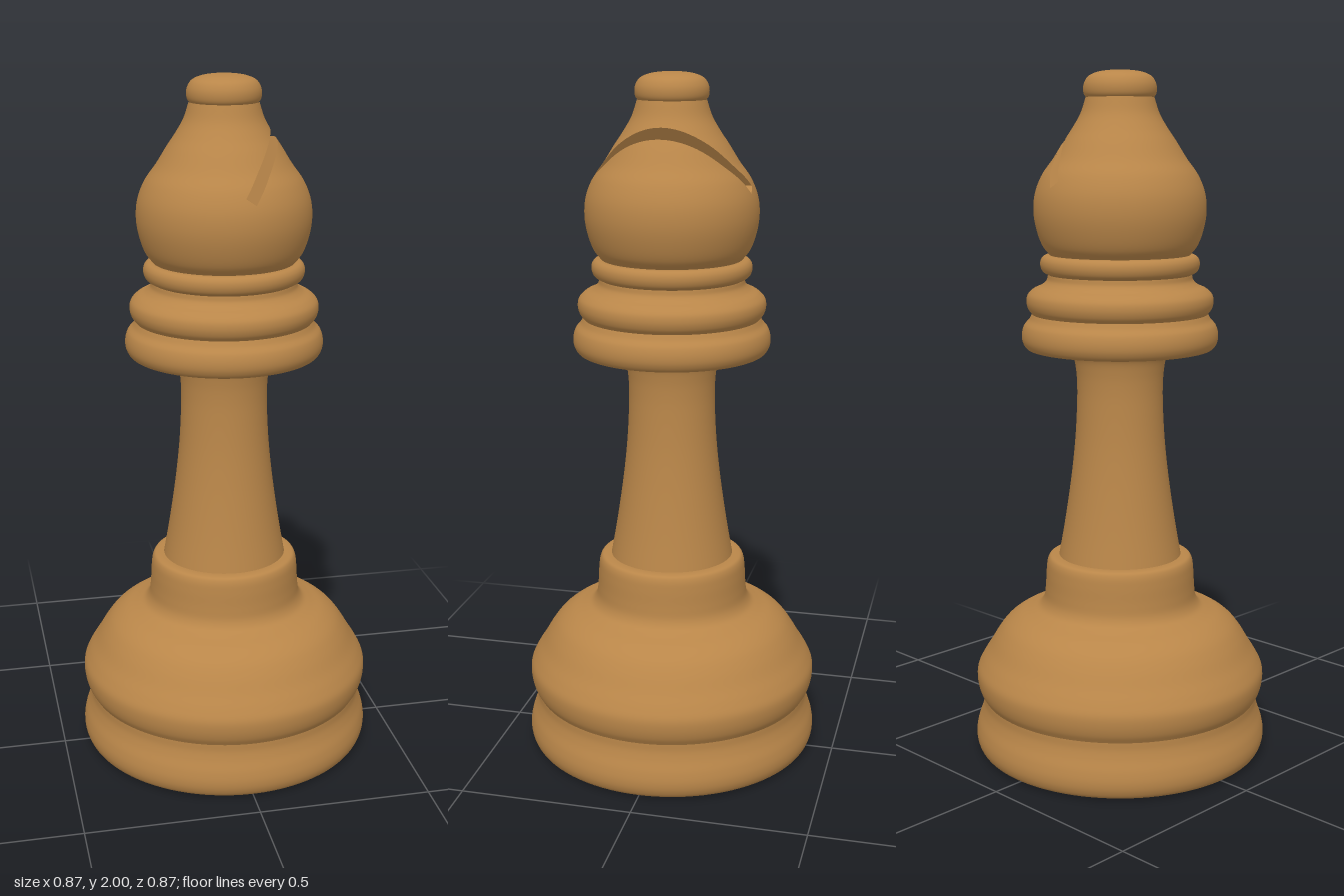
import * as THREE from 'three';

const SEGMENTS = 96;

// Smooth curve through profile points [radius, height]
function smooth(points, n = 48) {
  const curve = new THREE.CatmullRomCurve3(points.map(([r, y]) => new THREE.Vector3(r, y, 0)), false, 'centripetal');
  return curve.getPoints(n).map((p) => new THREE.Vector2(Math.max(0, p.x), p.y));
}

const headProfile = smooth([
  [0.2, 1.482], [0.222, 1.51], [0.24, 1.56], [0.247, 1.61], [0.242, 1.66], [0.222, 1.71],
  [0.19, 1.755], [0.16, 1.803], [0.135, 1.84], [0.112, 1.88], [0.097, 1.925],
], 60);

// Head radius at height y
function headRadius(y) {
  for (let i = 1; i < headProfile.length; i++) {
    const a = headProfile[i - 1], b = headProfile[i];
    if (y <= b.y) return a.x + (b.x - a.x) * (y - a.y) / (b.y - a.y);
  }
  return 0;
}

// Slanted slot: corner, direction, width direction and width in the xy plane
const corner = new THREE.Vector2(0.012, 1.695);
const along = new THREE.Vector2(0.57, 0.82).normalize();
const across = new THREE.Vector2(along.y, -along.x);
const WIDTH = 0.033;
const distance = (v, axis) => (v[0] - corner.x) * axis.x + (v[1] - corner.y) * axis.y;

// Keep the part of a polygon where f <= 0 (vertices hold position and normal)
function clip(polygon, f) {
  const out = [];
  polygon.forEach((a, i) => {
    const b = polygon[(i + 1) % polygon.length];
    const fa = f(a), fb = f(b);
    if (fa <= 0) out.push(a);
    if ((fa < 0 && fb > 0) || (fa > 0 && fb < 0)) {
      const t = fa / (fa - fb);
      out.push(a.map((v, k) => v + (b[k] - v) * t));
    }
  });
  return out;
}

// Head shell with the slot cut out
function headShell() {
  const lathe = new THREE.LatheGeometry(headProfile, SEGMENTS).toNonIndexed();
  const P = lathe.attributes.position, N = lathe.attributes.normal;
  const pos = [], nor = [];
  const emit = (poly) => {
    for (let i = 2; i < poly.length; i++) {
      for (const v of [poly[0], poly[i - 1], poly[i]]) {
        pos.push(v[0], v[1], v[2]);
        nor.push(v[3], v[4], v[5]);
      }
    }
  };
  for (let i = 0; i < P.count; i += 3) {
    const tri = [0, 1, 2].map((k) => [
      P.getX(i + k), P.getY(i + k), P.getZ(i + k), N.getX(i + k), N.getY(i + k), N.getZ(i + k)]);
    emit(clip(tri, (v) => distance(v, across)));
    emit(clip(tri, (v) => WIDTH - distance(v, across)));
    const middle = clip(clip(tri, (v) => -distance(v, across)), (v) => distance(v, across) - WIDTH);
    emit(clip(middle, (v) => distance(v, along)));
  }
  const g = new THREE.BufferGeometry();
  g.setAttribute('position', new THREE.Float32BufferAttribute(pos, 3));
  g.setAttribute('normal', new THREE.Float32BufferAttribute(nor, 3));
  return g;
}

// Flat slot face, swept from one xy point to another and trimmed to the head
function slotFace(from, to, flip) {
  const pos = [], steps = 48;
  const rim = (t) => {
    const p = from.clone().lerp(to, t);
    const z = Math.sqrt(Math.max(0, headRadius(p.y) ** 2 - p.x ** 2));
    return [[p.x, p.y, -z], [p.x, p.y, z]];
  };
  for (let i = 0; i < steps; i++) {
    const [a, d] = rim(Math.sin(i / steps * Math.PI / 2));
    const [b, c] = rim(Math.sin((i + 1) / steps * Math.PI / 2));
    pos.push(...(flip ? [a, c, b, a, d, c] : [a, b, c, a, c, d]).flat());
  }
  const g = new THREE.BufferGeometry();
  g.setAttribute('position', new THREE.Float32BufferAttribute(pos, 3));
  g.computeVertexNormals();
  return g;
}

// Where a line along the slot leaves the head
function exitPoint(start) {
  const p = start.clone();
  while (headRadius(p.y) > p.x) p.addScaledVector(along, 0.0005);
  return p;
}

export function createModel() {
  const group = new THREE.Group();
  const wood = new THREE.MeshStandardMaterial({ color: 0xb98649 });
  wood.name = 'wood';
  const add = (name, geometry, parent = group) => {
    const mesh = new THREE.Mesh(geometry, wood);
    mesh.name = name;
    parent.add(mesh);
  };
  const turn = (name, points, n) => add(name, new THREE.LatheGeometry(smooth(points, n), SEGMENTS));

  // Base: underside, foot moulding and bell
  add('underside', new THREE.LatheGeometry([new THREE.Vector2(0, 0), new THREE.Vector2(0.4, 0.002)], SEGMENTS));
  turn('footMoulding', [
    [0.4, 0.002], [0.42, 0.01], [0.431, 0.03], [0.434, 0.055], [0.429, 0.085], [0.417, 0.12], [0.411, 0.145], [0.41, 0.168],
  ]);
  turn('baseBell', [
    [0.41, 0.168], [0.422, 0.19], [0.429, 0.22], [0.428, 0.25], [0.414, 0.28], [0.392, 0.315], [0.366, 0.358],
    [0.34, 0.39], [0.305, 0.415], [0.265, 0.431], [0.24, 0.444], [0.227, 0.465], [0.222, 0.5],
    [0.219, 0.55], [0.215, 0.58], [0.208, 0.593], [0.195, 0.597], [0.17, 0.597],
  ], 90);

  // Stem
  turn('stem', [
    [0.181, 0.595], [0.166, 0.68], [0.152, 0.77], [0.14, 0.86], [0.131, 0.95], [0.126, 1.04],
    [0.125, 1.1], [0.128, 1.15], [0.136, 1.19], [0.152, 1.214],
  ]);

  // Collar rings
  turn('lowerCollar', [
    [0.13, 1.212], [0.2, 1.211], [0.25, 1.211], [0.27, 1.216], [0.282, 1.235], [0.284, 1.258],
    [0.277, 1.282], [0.262, 1.3], [0.254, 1.315],
  ], 60);
  turn('middleCollar', [
    [0.254, 1.315], [0.265, 1.33], [0.27, 1.35], [0.266, 1.37], [0.25, 1.386], [0.225, 1.398], [0.211, 1.412], [0.207, 1.428],
  ], 60);
  turn('upperCollar', [
    [0.207, 1.428], [0.222, 1.437], [0.229, 1.454], [0.227, 1.471], [0.217, 1.482], [0.19, 1.484],
  ]);

  // Head with slanted slot
  const head = new THREE.Group();
  head.name = 'head';
  group.add(head);
  add('headShell', headShell(), head);
  const farCorner = corner.clone().addScaledVector(across, WIDTH);
  add('slotInnerWall', slotFace(corner, exitPoint(corner), false), head);
  add('slotOuterWall', slotFace(farCorner, exitPoint(farCorner), true), head);
  add('slotFloor', slotFace(corner, farCorner, true), head);

  // Finial button
  turn('finial', [
    [0.08, 1.921], [0.093, 1.923], [0.101, 1.932], [0.104, 1.948], [0.101, 1.965], [0.09, 1.982],
    [0.068, 1.993], [0.035, 1.999], [0, 2],
  ]);
  return group;
}
